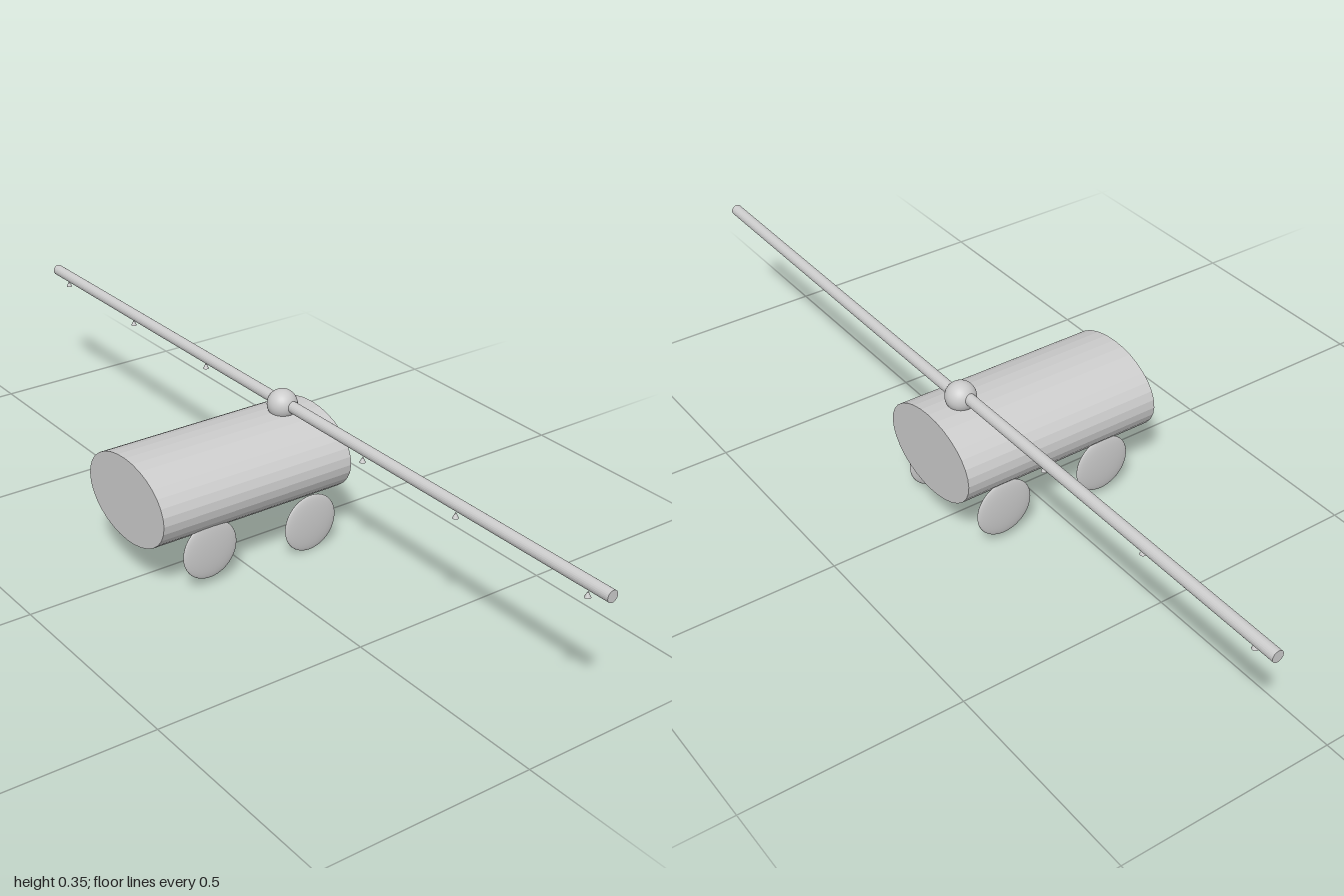
import * as THREE from 'three';

const CZ = -0.005; // depth of the centre line

export function createModel() {
  const model = new THREE.Group();
  const flat = new THREE.MeshStandardMaterial({ color: 0xcccccc, flatShading: true });
  const smooth = new THREE.MeshStandardMaterial({ color: 0xcccccc });

  const add = (name, geometry, material, x, y, z) => {
    const mesh = new THREE.Mesh(geometry, material);
    mesh.name = name;
    mesh.position.set(x, y, z);
    model.add(mesh);
    return mesh;
  };

  // Oval tank lying along x
  const tank = new THREE.CylinderGeometry(0.1, 0.1, 0.5, 32);
  tank.rotateZ(Math.PI / 2).scale(1, 1, 1.5);
  add('tank', tank, flat, 0, 0.2, CZ);

  // Lens-shaped wheels, each set slightly differently
  const wheel = new THREE.SphereGeometry(0.07, 32, 20).scale(1, 1, 0.13);
  [
    ['frontWheelLeft', 0.157, 0.071, 0.12],
    ['frontWheelRight', -0.115, 0.09, 0.118],
    ['backWheelLeft', 0.148, 0.09, -0.137],
    ['backWheelRight', -0.12, 0.09, -0.135],
  ].forEach(([name, x, y, z]) => add(name, wheel, smooth, x, y, z));

  // Ball joint on the tank
  add('hub', new THREE.SphereGeometry(0.035, 32, 24), smooth, 0.167, 0.316, CZ);

  // Two boom arms running forward and back from the hub
  const arm = new THREE.CylinderGeometry(0.0135, 0.0135, 1, 24).rotateX(Math.PI / 2);
  add('frontBoom', arm, flat, 0.172, 0.318, 0.5);
  add('backBoom', arm, flat, 0.163, 0.322, -0.5);

  // Small spray nozzles under the booms
  const nozzle = new THREE.ConeGeometry(0.007, 0.014, 16);
  [0.95, 0.585, 0.29, -0.3, -0.62, -0.94].forEach((z) =>
    add('nozzle', nozzle, smooth, 0.161, 0.302, z));

  return model;
}
